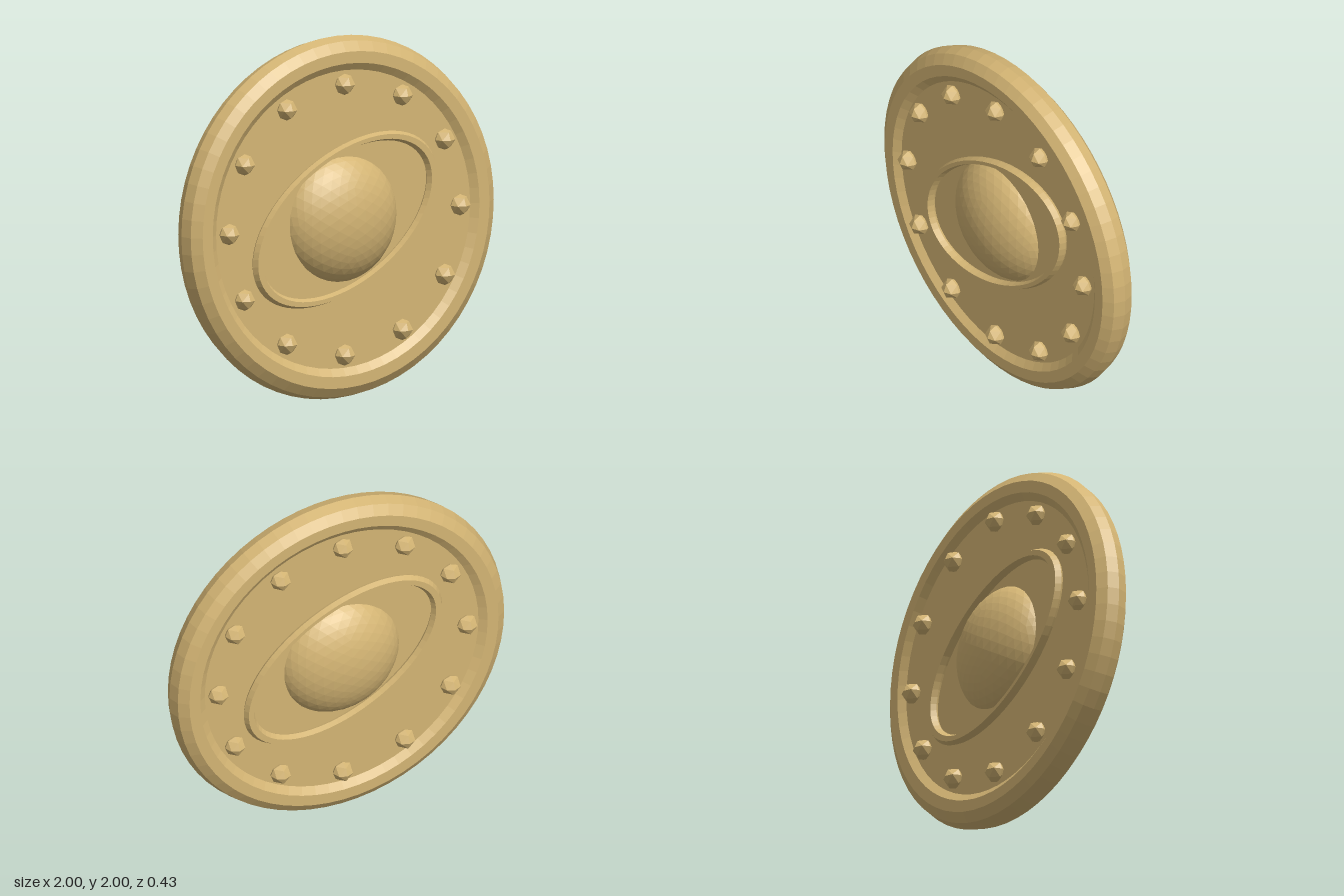
import * as THREE from 'three';

export function createModel() {
  const gold = new THREE.MeshStandardMaterial({ color: 0xd4b574, flatShading: true });
  gold.name = 'gold';
  const model = new THREE.Group();
  model.name = 'planetMedallion';

  const add = (parent, name, geometry, x = 0, y = 0, z = 0) => {
    const mesh = new THREE.Mesh(geometry, gold);
    mesh.name = name;
    mesh.position.set(x, y, z);
    parent.add(mesh);
    return mesh;
  };

  // Everything is built around the medallion's centre
  const medallion = new THREE.Group();
  medallion.name = 'medallion';
  medallion.position.y = 1;
  model.add(medallion);

  // Faceted rim and recessed plate
  add(medallion, 'rim', new THREE.TorusGeometry(0.895, 0.105, 10, 64));
  add(medallion, 'plate', new THREE.CylinderGeometry(0.88, 0.88, 0.14, 64).rotateX(Math.PI / 2));

  // Flattened planet bulging through both faces
  add(medallion, 'planet', new THREE.IcosahedronGeometry(0.365, 6).scale(1, 1, 0.59));

  // Tilted elliptical ring and studs, the same on both faces
  const ringGeometry = new THREE.TorusGeometry(0.61, 0.035, 6, 64)
    .scale(1, 0.6, 1)
    .rotateZ(THREE.MathUtils.degToRad(29));
  const studGeometry = new THREE.OctahedronGeometry(0.059, 1);

  for (const side of ['front', 'back']) {
    const face = new THREE.Group();
    face.name = side + 'Face';
    if (side === 'back') face.rotation.y = Math.PI;
    medallion.add(face);

    add(face, 'planetRing', ringGeometry, 0, 0, 0.085);
    for (let i = 0; i < 12; i++) {
      const a = (i * Math.PI) / 6;
      add(face, 'stud', studGeometry, 0.747 * Math.cos(a), 0.747 * Math.sin(a), 0.085);
    }
  }
  return model;
}
